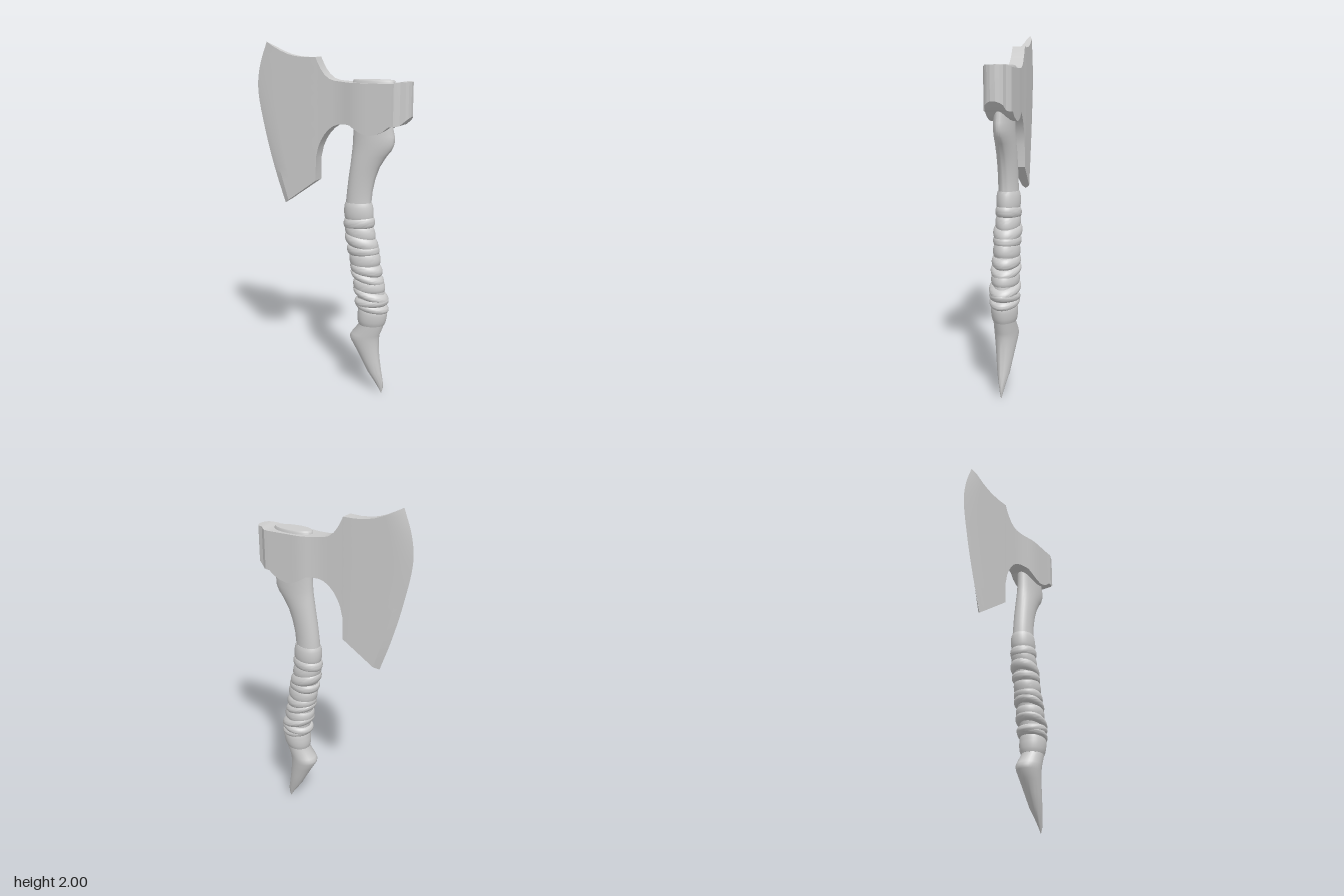
import * as THREE from 'three';
import { toCreasedNormals } from 'three/addons/utils/BufferGeometryUtils.js';

const material = new THREE.MeshStandardMaterial({ color: 0xcccccc });

// Skin a list of equal-length closed rings, with optional end caps
function loft(name, rings, crease, capStart = true, capEnd = true) {
  const n = rings[0].length, points = rings.flat(), index = [];
  for (let i = 0; i < rings.length - 1; i++) {
    for (let j = 0; j < n; j++) {
      const a = i * n + j, b = i * n + (j + 1) % n;
      index.push(a, a + n, b, b, a + n, b + n);
    }
  }
  const cap = (ring, base, flip) => {
    const mid = new THREE.Vector3();
    ring.forEach(p => mid.addScaledVector(p, 1 / n));
    const m = points.push(mid) - 1;
    for (let j = 0; j < n; j++) {
      const a = base + j, b = base + (j + 1) % n;
      index.push(m, flip ? b : a, flip ? a : b);
    }
  };
  if (capStart) cap(rings[0], 0, false);
  if (capEnd) cap(rings[rings.length - 1], (rings.length - 1) * n, true);
  const geometry = new THREE.BufferGeometry().setFromPoints(points);
  geometry.setIndex(index);
  const mesh = new THREE.Mesh(toCreasedNormals(geometry, crease), material);
  mesh.name = name;
  return mesh;
}

// Linear lookup in a table sorted by its first column
function sample(table, v) {
  let i = 1;
  while (i < table.length - 1 && table[i][0] < v) i++;
  const a = table[i - 1], b = table[i];
  const f = THREE.MathUtils.clamp((v - a[0]) / (b[0] - a[0]), 0, 1);
  return a.map((q, k) => q + (b[k] - q) * f);
}

// Axe head: blade columns fanning from the cutting edge, then neck, eye and poll
function axeHead() {
  const rows = 24, rings = [];
  const column = (at) => {
    const front = [], back = [];
    for (let k = 0; k <= rows; k++) {
      const [x, y, zb, zf] = at(k / rows);
      front.push(new THREE.Vector3(x, y, zf));
      back.unshift(new THREE.Vector3(x, y, zb));
    }
    rings.push([...front, ...back]);
  };

  const edge = new THREE.CatmullRomCurve3([
    [-0.295, 1.09], [-0.36, 1.28], [-0.42, 1.5], [-0.463, 1.74], [-0.447, 1.87], [-0.4, 2.0],
  ].map(([x, y]) => new THREE.Vector3(x, y, 0)));
  const thickness = [[-0.463, 0.008, 0.024], [-0.085, -0.03, 0.042]];
  for (const s of [0, 0.13, 0.3, 0.45, 0.6, 0.8, 1]) {
    column(t => {
      const e = edge.getPoint(t);
      const x = THREE.MathUtils.lerp(e.x, -0.085, s);
      const sag = 0.03 * Math.sin(Math.PI * s) * t ** 6;
      const y = THREE.MathUtils.lerp(e.y, 1.24 + 0.68 * t, s) - sag;
      const [, zb, zf] = sample(thickness, x);
      return s === 0 ? [x, y, 0.0165, 0.0175] : [x, y, zb, zf];
    });
  }

  // x, bottom, top, back z, front z
  const body = [
    [-0.082, 1.37, 1.92, -0.03, 0.042], [-0.068, 1.43, 1.89, -0.031, 0.042],
    [-0.05, 1.47, 1.858, -0.032, 0.043], [-0.028, 1.505, 1.83, -0.034, 0.044],
    [0, 1.535, 1.808, -0.036, 0.045], [0.03, 1.555, 1.798, -0.038, 0.046],
    [0.06, 1.565, 1.795, -0.042, 0.049], [0.1, 1.568, 1.792, -0.052, 0.056],
    [0.13, 1.565, 1.79, -0.062, 0.064], [0.16, 1.547, 1.79, -0.07, 0.07],
    [0.19, 1.53, 1.79, -0.073, 0.073], [0.22, 1.52, 1.79, -0.074, 0.074],
    [0.25, 1.515, 1.79, -0.075, 0.073], [0.29, 1.524, 1.79, -0.077, 0.072],
    [0.33, 1.543, 1.79, -0.078, 0.071], [0.36, 1.568, 1.79, -0.079, 0.07],
    [0.385, 1.57, 1.792, -0.079, 0.07], [0.4, 1.57, 1.796, -0.07, 0.064],
    [0.415, 1.575, 1.8, -0.058, 0.053], [0.443, 1.6, 1.8, -0.051, 0.046],
    [0.455, 1.612, 1.8, -0.036, 0.032], [0.463, 1.62, 1.8, -0.014, 0.012],
  ];
  for (const [x, lo, hi, zb, zf] of body) column(t => [x, lo + (hi - lo) * t, zb, zf]);
  return loft('axeHead', rings, 0.3, false, true);
}

// y, left edge, right edge, half depth of the curved handle
const haft = [
  [0, 0.317, 0.32, 0.002], [0.03, 0.3, 0.329, 0.009], [0.07, 0.273, 0.328, 0.018],
  [0.13, 0.232, 0.316, 0.034], [0.2, 0.195, 0.305, 0.045], [0.27, 0.156, 0.297, 0.056],
  [0.32, 0.126, 0.296, 0.064], [0.34, 0.121, 0.298, 0.066], [0.36, 0.132, 0.301, 0.066],
  [0.42, 0.178, 0.324, 0.061], [0.5, 0.18, 0.335, 0.064], [0.6, 0.166, 0.33, 0.066],
  [0.7, 0.148, 0.302, 0.064], [0.8, 0.131, 0.288, 0.063], [0.9, 0.108, 0.266, 0.062],
  [1.0, 0.092, 0.248, 0.058], [1.13, 0.09, 0.238, 0.055], [1.2, 0.097, 0.245, 0.054],
  [1.27, 0.105, 0.26, 0.054], [1.34, 0.115, 0.286, 0.054], [1.4, 0.122, 0.325, 0.053],
  [1.435, 0.126, 0.354, 0.052], [1.47, 0.129, 0.369, 0.052], [1.51, 0.13, 0.37, 0.051],
  [1.55, 0.131, 0.36, 0.05], [1.65, 0.13, 0.362, 0.053], [1.798, 0.126, 0.367, 0.055],
  [1.806, 0.133, 0.36, 0.051],
];

// Slightly egg-shaped ring; grow swells it and tilt leans it sideways
function haftRing(y, grow = 0, tilt = 0) {
  const [, left, right, depth] = sample(haft, y);
  const cx = (left + right) / 2, rx = (right - left) / 2 + grow, rz = depth + grow;
  return Array.from({ length: 32 }, (_, j) => {
    const a = j / 32 * Math.PI * 2, dx = rx * Math.cos(a);
    return new THREE.Vector3(cx + dx, y + tilt * dx, rz * Math.sin(a) * (1 - 0.12 * Math.cos(a)));
  });
}

// Overlapping leather bands: centre y, height, swell, tilt
function gripWrap() {
  const group = new THREE.Group();
  group.name = 'gripWrap';
  const bands = [
    [1.085, 0.1, 0.008, 0.02], [1.02, 0.06, 0.012, 0.1], [0.97, 0.07, 0.008, -0.1],
    [0.915, 0.07, 0.016, -0.2], [0.865, 0.055, 0.013, 0.05], [0.81, 0.075, 0.009, 0.15],
    [0.755, 0.06, 0.014, -0.1], [0.71, 0.05, 0.018, -0.25], [0.66, 0.07, 0.011, 0.05],
    [0.61, 0.055, 0.019, -0.25], [0.565, 0.05, 0.017, 0.1], [0.535, 0.045, 0.016, -0.15],
    [0.475, 0.1, 0.008, 0],
  ];
  const steps = 8;
  for (const [y, height, swell, tilt] of bands) {
    const rings = [];
    for (let k = 0; k <= steps; k++) {
      const f = k / steps;
      rings.push(haftRing(y + height * (f - 0.5), 0.002 + swell * Math.sin(Math.PI * f) ** 0.6, tilt));
    }
    group.add(loft('wrapBand', rings, 1));
  }
  return group;
}

export function createModel() {
  const model = new THREE.Group();
  model.name = 'axe';
  model.add(axeHead());
  model.add(loft('handle', haft.map(([y]) => haftRing(y)), 0.8));
  model.add(gripWrap());
  return model;
}
